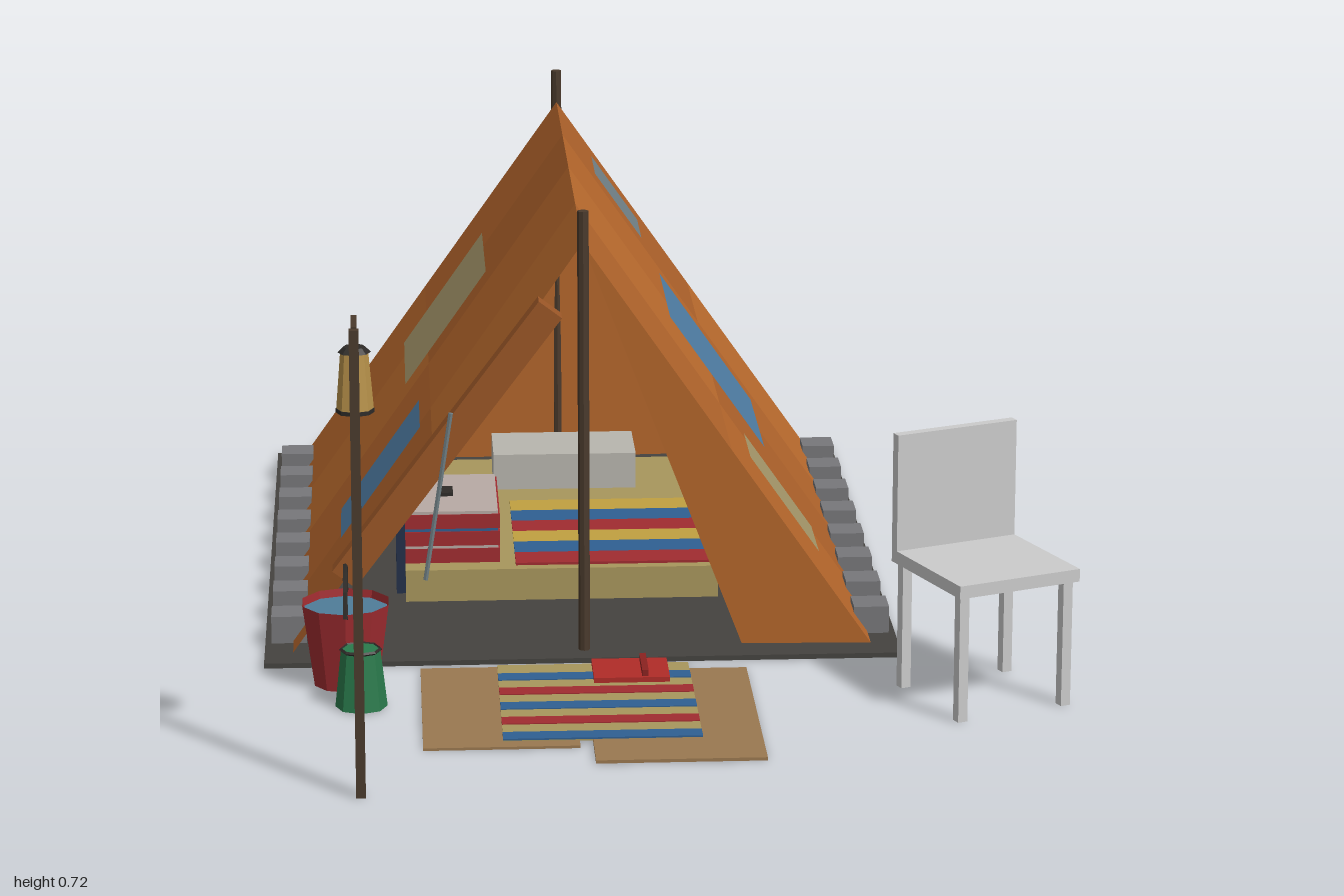
import * as THREE from 'three';

const V = (x, y, z) => new THREE.Vector3(x, y, z);
const mats = {};
const mat = (color) => (mats[color] ??= new THREE.MeshStandardMaterial({ color, flatShading: true, side: THREE.DoubleSide }));

const C = { wood: 0x4a3a2c, dark: 0x2e2b28, sheet: 0x45433f, stone: 0x77777a, grey: 0xcccccc, rope: 0x6e6556,
  red: 0xa02c30, blue: 0x2f5f92, khaki: 0xa8965c, green: 0x2a7a4c, mat: 0x9a7850, patchBlue: 0x4d7ba2,
  patchKhaki: 0xa39468, patchGrey: 0x6f7f84, canvas: 0xb4662b };

function mesh(parent, name, geometry, color, pos = [0, 0, 0]) {
  const m = new THREE.Mesh(geometry, mat(color));
  m.name = name;
  m.position.set(...pos);
  parent.add(m);
  return m;
}

// Box given by its ranges on the three axes
function box(parent, name, color, x0, x1, y0, y1, z0, z1) {
  return mesh(parent, name, new THREE.BoxGeometry(x1 - x0, y1 - y0, z1 - z0), color,
    [(x0 + x1) / 2, (y0 + y1) / 2, (z0 + z1) / 2]);
}

// Straight rod between two points
function rod(parent, name, color, a, b, r, sides = 6) {
  const m = mesh(parent, name, new THREE.CylinderGeometry(r, r, a.distanceTo(b), sides), color);
  m.position.copy(a).add(b).multiplyScalar(0.5);
  m.quaternion.setFromUnitVectors(V(0, 1, 0), b.clone().sub(a).normalize());
  return m;
}

// Flat sheet from three or four corners
function sheet(parent, name, color, ...pts) {
  const g = new THREE.BufferGeometry().setFromPoints(pts);
  g.setIndex(pts.length === 4 ? [0, 1, 2, 0, 2, 3] : [0, 1, 2]);
  g.computeVertexNormals();
  return mesh(parent, name, g, color);
}

function group(parent, name, x = 0, y = 0, z = 0) {
  const g = new THREE.Group();
  g.name = name;
  g.position.set(x, y, z);
  parent.add(g);
  return g;
}

const RIDGE_X = -0.12, RIDGE_Y = 0.665, BASE_Y = 0.012;
const baseX = { left: 0.335, right: -0.58 };

// Point on a roof slope: height y, length position z, lifted off the cloth
function onSlope(side, y, z, lift = 0) {
  const t = (RIDGE_Y - y) / (RIDGE_Y - BASE_Y);
  const run = baseX[side] - RIDGE_X, rise = RIDGE_Y - BASE_Y, len = Math.hypot(run, rise);
  return V(RIDGE_X + run * t + Math.sign(run) * lift * rise / len, y + lift * Math.abs(run) / len, z);
}

function buildTent(root) {
  const tent = group(root, 'tent');
  box(tent, 'groundSheet', C.sheet, -0.625, 0.38, 0, 0.008, -0.805, 0.4);

  // Roof slopes, sewn from panels of slightly different cloth
  const tones = [0xb4662b, 0xab6029, 0xb0632b, 0xb86a2d];
  const cuts = [1, 0.745, 0.49, 0.255, 0];
  const end = (y, s) => {
    const t = (RIDGE_Y - y) / (RIDGE_Y - BASE_Y);
    return THREE.MathUtils.lerp(-0.735 - 0.02 * t, 0.34 + 0.02 * t, s);
  };
  const rows = [BASE_Y, 0.33, RIDGE_Y];
  for (const side of ['left', 'right'])
    for (let r = 0; r < 2; r++)
      for (let i = 0; i < 4; i++) {
        const P = (y, s) => onSlope(side, y, end(y, s));
        sheet(tent, 'roofPanel', tones[(i + r * 2 + (side === 'left' ? 0 : 1)) % 4],
          P(rows[r], cuts[i]), P(rows[r], cuts[i + 1]), P(rows[r + 1], cuts[i + 1]), P(rows[r + 1], cuts[i]));
      }

  // Patches: side, y range, z range, colour
  for (const [side, y0, y1, z0, z1, color] of [
    ['left', 0.12, 0.28, 0.085, 0.225, C.patchKhaki], ['left', 0.215, 0.44, -0.36, -0.06, C.patchBlue],
    ['left', 0.475, 0.59, -0.615, -0.475, C.patchGrey], ['right', 0.28, 0.475, -0.53, -0.25, C.patchKhaki],
    ['right', 0.125, 0.31, -0.04, 0.125, C.patchBlue]])
    sheet(tent, 'roofPatch', color, onSlope(side, y0, z0, 0.005), onSlope(side, y0, z1, 0.005),
      onSlope(side, y1, z1, 0.005), onSlope(side, y1, z0, 0.005));

  // Back wall in two halves, closed front flap
  const backTop = V(RIDGE_X, RIDGE_Y, -0.735), backMid = V(RIDGE_X, BASE_Y, -0.74);
  for (const side of ['left', 'right'])
    sheet(tent, 'backWall', C.canvas, backTop, backMid, V(baseX[side], BASE_Y, -0.755));
  sheet(tent, 'frontFlap', C.canvas, V(RIDGE_X, RIDGE_Y, 0.34), V(0.13, BASE_Y, 0.35), V(baseX.left, BASE_Y, 0.36));

  // Rolled-back flap with its tie
  const roll = mesh(tent, 'rolledFlap', new THREE.BoxGeometry(0.045, 0.54, 0.035), 0x9a5626, [-0.335, 0.357, 0.376]);
  roll.rotation.z = -Math.atan2(0.325, 0.43);
  rod(tent, 'flapTie', C.patchGrey, V(-0.328, 0.41, 0.395), V(-0.37, 0.14, 0.395), 0.004);

  // Poles, guy rope and peg
  rod(tent, 'frontPole', C.wood, V(RIDGE_X, 0, 0.355), V(RIDGE_X, 0.72, 0.355), 0.009, 8);
  rod(tent, 'backPole', C.wood, V(RIDGE_X, 0, -0.745), V(RIDGE_X, 0.72, -0.745), 0.009, 8);
  rod(tent, 'guyRope', C.rope, V(RIDGE_X, 0.69, -0.747), V(RIDGE_X, 0.035, -0.985), 0.003);
  box(tent, 'peg', C.stone, -0.128, -0.112, 0, 0.05, -1, -0.982);

  // Stones holding down both edges
  for (const x of [-0.587, 0.342])
    for (let i = 0; i < 8; i++) {
      const z = 0.27 - i * 0.1343;
      box(tent, 'edgeStone', C.stone, x - 0.028, x + 0.028, 0.005, 0.052, z - 0.029, z + 0.029);
    }
}

function buildBed(root) {
  const bed = group(root, 'bed');
  box(bed, 'mattress', C.khaki, -0.4, 0.11, 0.01, 0.063, -0.55, 0.1);
  const stripes = [C.red, C.blue, 0xc0a040];
  for (let i = 0; i < 6; i++)
    box(bed, 'bedStripe', stripes[i % 3], -0.22, 0.108, 0.06, 0.067, 0.02 - i * 0.06, 0.08 - i * 0.06);
  box(bed, 'pillow', 0xb8b6ae, -0.245, 0, 0.063, 0.125, -0.5, -0.36);
  // Folded blankets with pale bands
  for (let i = 0; i < 3; i++) {
    const y = 0.063 + i * 0.029;
    box(bed, 'foldedBlanket', C.red, -0.4, -0.245, y, y + 0.024, -0.16, 0.06);
    box(bed, 'blanketBand', i === 1 ? C.blue : 0xb8aaa4, -0.4, -0.248, y + 0.024, y + 0.029, -0.158, 0.058);
  }
  box(bed, 'blanketEdge', 0x23304a, -0.415, -0.4, 0.012, 0.148, -0.16, 0.06);
  box(bed, 'blanketStrap', C.dark, -0.345, -0.32, 0.148, 0.156, -0.07, -0.03);
}

function buildRug(root) {
  const rug = group(root, 'rugs');
  box(rug, 'rightMat', C.mat, -0.38, -0.145, 0, 0.004, 0.425, 0.8);
  box(rug, 'leftMat', C.mat, -0.125, 0.13, 0, 0.005, 0.45, 0.87);
  box(rug, 'stripedRug', C.khaki, -0.26, 0.04, 0.003, 0.007, 0.425, 0.775);
  for (let i = 0; i < 5; i++) {
    const z = 0.485 + i * 0.069;
    box(rug, 'rugStripe', i % 2 ? C.red : C.blue, -0.26, 0.04, 0.006, 0.0085, z - 0.016, z + 0.016);
  }
  box(rug, 'redCase', 0xb02c28, -0.112, 0.006, 0.007, 0.015, 0.425, 0.52);
  box(rug, 'caseLatch', 0x8a2220, -0.037, -0.027, 0.014, 0.025, 0.43, 0.515);
}

function buildChair(root) {
  const chair = group(root, 'chair', 0.485, 0, 0.59);
  chair.rotation.y = 0.39;
  box(chair, 'seat', C.grey, -0.104, 0.104, 0.2, 0.22, -0.108, 0.108);
  box(chair, 'backrest', C.grey, -0.104, 0.104, 0.22, 0.405, -0.108, -0.092);
  for (const x of [-0.09, 0.09])
    for (const z of [-0.09, 0.09])
      box(chair, 'leg', C.grey, x - 0.008, x + 0.008, 0, 0.2, z - 0.008, z + 0.008);
}

// Arched handle running along z
function handle(parent, halfWidth, y, rise) {
  const path = new THREE.CatmullRomCurve3([V(0, y, halfWidth), V(0, y + rise * 0.85, halfWidth * 0.65),
    V(0, y + rise, 0), V(0, y + rise * 0.85, -halfWidth * 0.65), V(0, y, -halfWidth)]);
  mesh(parent, 'handle', new THREE.TubeGeometry(path, 10, 0.004, 5), C.dark);
}

function buildBuckets(root) {
  const bucket = group(root, 'waterBucket', -0.495, 0, 0.475);
  mesh(bucket, 'bucketWall', new THREE.CylinderGeometry(0.07, 0.052, 0.13, 10, 1, true), C.red, [0, 0.067, 0]);
  mesh(bucket, 'bucketBase', new THREE.CylinderGeometry(0.052, 0.052, 0.004, 10), C.red, [0, 0.003, 0]);
  mesh(bucket, 'water', new THREE.CylinderGeometry(0.067, 0.066, 0.004, 10), 0x4f7d98, [0, 0.118, 0]);
  handle(bucket, 0.07, 0.125, 0.058);

  const can = group(root, 'greenCan', -0.472, 0, 0.59);
  mesh(can, 'canBody', new THREE.CylinderGeometry(0.03, 0.04, 0.092, 8), C.green, [0, 0.047, 0]);
  mesh(can, 'canRim', new THREE.TorusGeometry(0.03, 0.003, 4, 8), C.dark, [0, 0.092, 0]).rotation.x = Math.PI / 2;
  box(can, 'canSpout', C.dark, -0.004, 0.004, 0.07, 0.078, 0.025, 0.052);
}

function buildLamp(root) {
  const lamp = group(root, 'lampPost', -0.472, 0, 0);
  box(lamp, 'post', C.wood, -0.007, 0.007, 0, 0.7, 0.986, 1);
  box(lamp, 'arm', C.wood, -0.004, 0.004, 0.695, 0.703, 0.92, 0.99);
  rod(lamp, 'hook', C.dark, V(0, 0.7, 0.923), V(0, 0.65, 0.923), 0.003);
  mesh(lamp, 'lanternGlass', new THREE.CylinderGeometry(0.02, 0.027, 0.085, 8), 0xb8924a, [0, 0.608, 0.923]);
  mesh(lamp, 'lanternCap', new THREE.CylinderGeometry(0.016, 0.024, 0.008, 8), C.dark, [0, 0.653, 0.923]);
  mesh(lamp, 'lanternBase', new THREE.CylinderGeometry(0.028, 0.028, 0.006, 8), C.dark, [0, 0.563, 0.923]);
}

export function createModel() {
  const root = new THREE.Group();
  root.name = 'campsite';
  for (const build of [buildTent, buildBed, buildRug, buildChair, buildBuckets, buildLamp]) build(root);
  return root;
}
